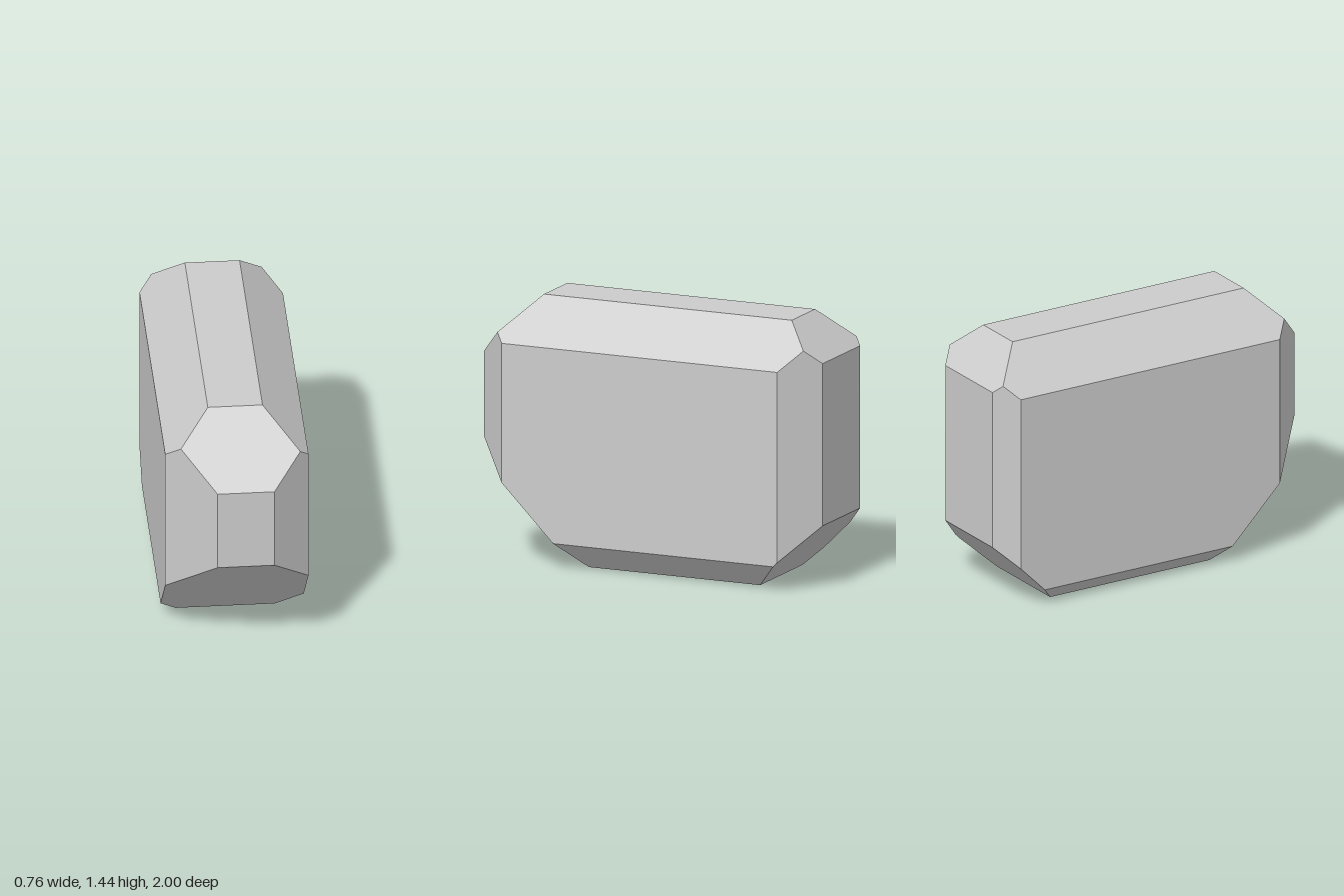
import * as THREE from 'three';
import { ConvexGeometry } from 'three/addons/geometries/ConvexGeometry.js';

// Each row is a half-space: nx*x + ny*y + nz*z <= d
const CUTS = [
  // six flat sides of the block
  [1, 0, 0, 0.38], [-1, 0, 0, 0.38],
  [0, 1, 0, 1.442], [0, -1, 0, 0],
  [0, 0, 1, 1], [0, 0, -1, 1],
  // bevels along the long edges
  [1, 1, 0, 1.588], [-1, 1, 0, 1.588],
  [1, -1, 0, 0.236], [-1, -1, 0, 0.291],
  // bevels across the front and back ends
  [0, 1, 1, 2.105], [0, 1, -1, 2.236],
  [0, -1, 1, 0.356], [0, -1, -1, 0.65],
  // bevels on the upright corners
  [1, 0, 1, 1.182], [-1, 0, 1, 1.122],
  [1, 0, -1, 1.198], [-1, 0, -1, 1.271],
];

// Corners of the solid: points where three planes meet inside all the others
function solidCorners(cuts) {
  const planes = cuts.map(([x, y, z, d]) => ({ n: new THREE.Vector3(x, y, z), d }));
  const corners = [];
  for (let i = 0; i < planes.length; i++)
    for (let j = i + 1; j < planes.length; j++)
      for (let k = j + 1; k < planes.length; k++) {
        const [a, b, c] = [planes[i], planes[j], planes[k]];
        const bc = b.n.clone().cross(c.n);
        const det = a.n.dot(bc);
        if (Math.abs(det) < 1e-6) continue;
        const p = bc.multiplyScalar(a.d)
          .addScaledVector(c.n.clone().cross(a.n), b.d)
          .addScaledVector(a.n.clone().cross(b.n), c.d)
          .divideScalar(det);
        const inside = planes.every((q) => q.n.dot(p) <= q.d + 1e-6);
        if (inside && !corners.some((q) => q.distanceTo(p) < 1e-5)) corners.push(p);
      }
  return corners;
}

export function createModel() {
  const group = new THREE.Group();
  group.name = 'bevelledBlock';

  // Single faceted block with unequal bevels
  const block = new THREE.Mesh(
    new ConvexGeometry(solidCorners(CUTS)),
    new THREE.MeshStandardMaterial({ color: 0xcccccc, flatShading: true })
  );
  block.name = 'block';
  group.add(block);
  return group;
}
